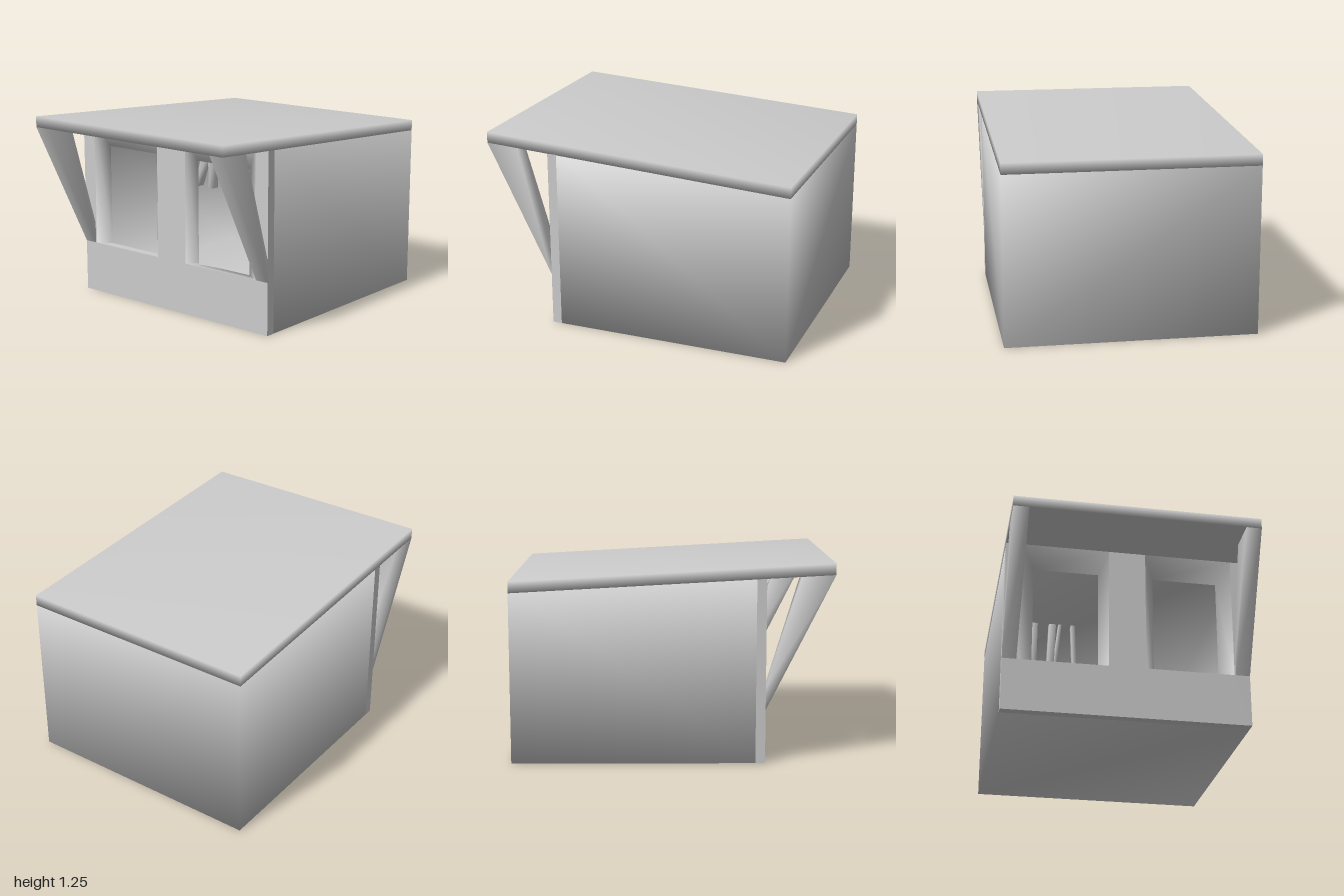
import * as THREE from 'three';

const W = 0.79, WALL = 0.58, BACK = -1, T = 0.05, RECESS = 0.52;
const roofTop = z => 1.195 + 0.055 * z;
const roofUnder = z => roofTop(z) - 0.07;

const material = new THREE.MeshStandardMaterial({ color: 0xcccccc, side: THREE.DoubleSide });

// Upright rectangle, counter-clockwise seen from the front
const rect = (x0, x1, y0, y1, z) => [[x0, y0, z], [x1, y0, z], [x1, y1, z], [x0, y1, z]];

// Skin four-cornered rings with shared vertices, so shading is smooth
function loft(name, rings, capped = true) {
  const index = [];
  const quad = (a, b, c, d) => index.push(a, b, c, a, c, d);
  for (let i = 0; i < rings.length - 1; i++) {
    for (let j = 0; j < 4; j++) {
      const a = i * 4 + j, b = i * 4 + (j + 1) % 4;
      quad(a, b, b + 4, a + 4);
    }
  }
  if (capped) {
    const n = rings.length * 4 - 4;
    quad(3, 2, 1, 0);
    quad(n, n + 1, n + 2, n + 3);
  }
  const geometry = new THREE.BufferGeometry();
  geometry.setAttribute('position', new THREE.Float32BufferAttribute(rings.flat(2), 3));
  geometry.setIndex(index);
  geometry.computeVertexNormals();
  const mesh = new THREE.Mesh(geometry, material);
  mesh.name = name;
  return mesh;
}

export function createModel() {
  const model = new THREE.Group();
  model.name = 'kiosk';

  // Hollow body: floor, sides, back wall and ceiling
  model.add(loft('body', [
    rect(-W, W, 0, roofUnder(BACK), BACK),
    rect(-W, W, 0, roofUnder(RECESS), RECESS),
    rect(-W + T, W - T, T, roofUnder(RECESS) - 0.02, RECESS),
    rect(-W + T, W - T, T, roofUnder(BACK + T) - 0.02, BACK + T),
  ]));

  // Sloping roof slab that overhangs the front
  model.add(loft('roof', [BACK, 1].map(z => rect(-W, W, roofUnder(z), roofTop(z), z))));

  // Front wall: low panel, corner posts and middle post
  const top = roofUnder(WALL), sill = 0.34;
  const outline = [
    [-W, 0], [W, 0], [W, top], [0.69, top], [0.69, sill], [0.12, sill], [0.12, top],
    [-0.12, top], [-0.12, sill], [-0.69, sill], [-0.69, top], [-W, top],
  ].map(p => new THREE.Vector2(...p));
  const wall = new THREE.Mesh(new THREE.ExtrudeGeometry(new THREE.Shape(outline),
    { depth: WALL - RECESS, bevelEnabled: false }), material);
  wall.position.z = RECESS;
  wall.name = 'frontWall';
  model.add(wall);

  for (const side of [-1, 1]) {
    const span = (a, b) => side > 0 ? [a, b] : [-b, -a];

    // Splayed window frame
    model.add(loft('windowFrame', [
      rect(...span(0.12, 0.69), sill, top, WALL),
      rect(...span(0.18, 0.6), sill, 1.01, RECESS),
      rect(...span(0.12, 0.69), sill, top, RECESS),
    ], false));

    // Slanted brace from the wall to the roof edge
    const [a0, a1] = span(0.7, W), [b0, b1] = span(0.69, W);
    const yIn = roofUnder(0.79), yOut = roofUnder(1);
    model.add(loft('roofBrace', [
      [[a0, sill, WALL], [a1, sill, WALL], [a1, 0.48, WALL], [a0, 0.48, WALL]],
      [[b0, yOut, 1], [b1, yOut, 1], [b1, yIn, 0.79], [b0, yIn, 0.79]],
    ]));
  }

  // Bent strips hanging inside: x at bottom, middle and top, then half width
  const strips = new THREE.Group();
  strips.name = 'hangingStrips';
  const ys = [0.585, 0.78, 1.09], z = -0.4, d = 0.025;
  [
    [-0.63, -0.565, -0.61, 0.025],
    [-0.493, -0.493, -0.49, 0.025],
    [-0.345, -0.37, -0.36, 0.025],
    [-0.325, -0.338, -0.305, 0.012],
    [-0.2, -0.2, -0.215, 0.015],
  ].forEach(([x0, x1, x2, w]) => strips.add(loft('strip', [x0, x1, x2].map((x, i) => [
    [x - w, ys[i], z + d], [x + w, ys[i], z + d], [x + w, ys[i], z - d], [x - w, ys[i], z - d],
  ]))));
  model.add(strips);

  return model;
}
